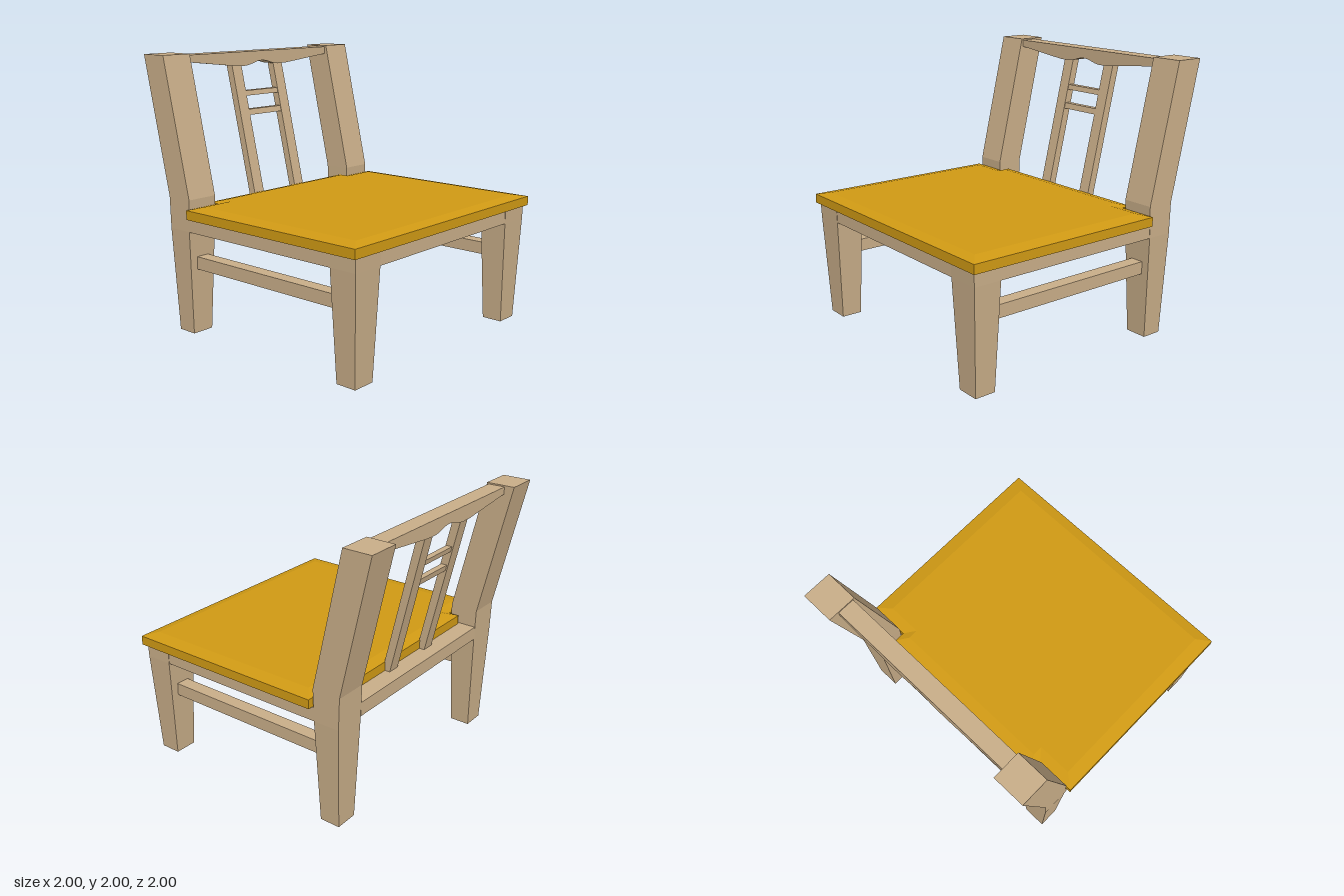
import * as THREE from 'three';

const wood = new THREE.MeshStandardMaterial({ color: 0xc8ad88, flatShading: true });
const cushion = new THREE.MeshStandardMaterial({ color: 0xcf9914, flatShading: true });

// Rectangular sections [y, x0, x1, z0, z1] joined from bottom to top
function loft(sections) {
  const pos = [], index = [];
  for (const [y, x0, x1, z0, z1] of sections) {
    pos.push(x0, y, z1, x1, y, z1, x1, y, z0, x0, y, z0);
  }
  const last = (sections.length - 1) * 4;
  for (let r = 0; r < last; r += 4) {
    for (let i = 0; i < 4; i++) {
      const a = r + i, b = r + (i + 1) % 4;
      index.push(a, b, b + 4, a, b + 4, a + 4);
    }
  }
  index.push(0, 2, 1, 0, 3, 2, last, last + 1, last + 2, last, last + 2, last + 3);
  const g = new THREE.BufferGeometry();
  g.setAttribute('position', new THREE.Float32BufferAttribute(pos, 3));
  g.setIndex(index);
  const flat = g.toNonIndexed();
  flat.computeVertexNormals();
  return flat;
}

const mirrorX = (sections) => sections.map(([y, x0, x1, z0, z1]) => [y, -x1, -x0, z0, z1]);

// Seat: notched outline whose top layer is drawn in to make a mitred bevel
function seatGeometry() {
  const outer = [[1, 1], [1, -0.55], [0.705, -0.55], [0.705, -0.63]];
  const inner = [[0.9, 0.92], [0.9, -0.47], [0.64, -0.47], [0.64, -0.545]];
  const half = outer.map(([x, z]) => new THREE.Vector2(x, -z));
  const other = half.map((p) => new THREE.Vector2(-p.x, p.y)).reverse();
  const g = new THREE.ExtrudeGeometry(new THREE.Shape([...half, ...other]), {
    depth: 2, steps: 2, bevelEnabled: false,
  });
  g.rotateX(-Math.PI / 2);
  const p = g.attributes.position;
  for (let i = 0; i < p.count; i++) {
    const x = p.getX(i), z = p.getZ(i), layer = Math.round(p.getY(i));
    p.setY(i, [0.868, 0.935, 0.955][layer]);
    if (layer < 2) continue;
    const k = outer.findIndex(([ox, oz]) => Math.hypot(Math.abs(x) - ox, z - oz) < 0.01);
    p.setX(i, Math.sign(x) * inner[k][0]);
    p.setZ(i, inner[k][1]);
  }
  g.computeVertexNormals();
  return g;
}

// Top rail: straight top, sagging underside with a small central arch
function topRailGeometry() {
  const s = new THREE.Shape();
  s.moveTo(-0.74, 1.99);
  s.lineTo(-0.74, 1.94);
  s.lineTo(-0.26, 1.885);
  s.lineTo(-0.17, 1.883);
  s.bezierCurveTo(-0.09, 1.89, -0.07, 1.916, 0, 1.916);
  s.bezierCurveTo(0.07, 1.916, 0.09, 1.89, 0.17, 1.883);
  s.lineTo(0.26, 1.885);
  s.lineTo(0.74, 1.935);
  s.lineTo(0.74, 1.99);
  const g = new THREE.ExtrudeGeometry(s, { depth: 0.125, bevelEnabled: false, curveSegments: 8 });
  return g.translate(0, 0, -0.925);
}

export function createModel() {
  const chair = new THREE.Group();
  chair.name = 'chair';
  const add = (name, geometry, material = wood) => {
    const m = new THREE.Mesh(geometry, material);
    m.name = name;
    chair.add(m);
  };
  const box = (name, x0, x1, y0, y1, z0, z1) =>
    add(name, loft([[y0, x0, x1, z0, z1], [y1, x0, x1, z0, z1]]));
  const pair = (name, sections) => {
    add('left' + name, loft(sections));
    add('right' + name, loft(mirrorX(sections)));
  };
  // Front of the leaning back at a given height
  const lean = (y) => -0.63 - 0.235 * (y - 0.955);

  add('seat', seatGeometry(), cushion);

  // Tapered legs; the back pair carry on up as leaning posts
  pair('FrontLeg', [
    [0, 0.76, 0.93, 0.79, 0.945],
    [0.77, 0.727, 0.967, 0.768, 0.975],
    [0.868, 0.725, 0.968, 0.766, 0.978],
  ]);
  pair('BackLeg', [
    [0, 0.76, 0.93, -0.74, -0.588],
    [0.77, 0.727, 0.965, -0.763, -0.565],
    [1.0, 0.725, 0.965, -0.77, -0.557],
    [2.0, 0.725, 0.965, -1.0, -0.788],
  ]);

  // Rails under the seat
  box('frontApron', -0.73, 0.73, 0.768, 0.868, 0.77, 0.974);
  box('backApron', -0.73, 0.73, 0.768, 0.868, -0.765, -0.565);
  pair('SideApron', [
    [0.768, 0.73, 0.964, -0.57, 0.77],
    [0.868, 0.73, 0.964, -0.57, 0.77],
  ]);
  pair('Stretcher', [
    [0.482, 0.795, 0.895, -0.58, 0.785],
    [0.575, 0.795, 0.895, -0.58, 0.785],
  ]);

  // Back: top rail, two leaning slats and two rungs between them
  add('topRail', topRailGeometry());
  pair('Slat', [0.86, 1.89].map((y) => [y, 0.17, 0.265, lean(y) - 0.06, lean(y)]));
  [[1.51, 1.553], [1.655, 1.693]].forEach(([y0, y1], i) => {
    const rung = [y0, y1].map((y) => [y, -0.175, 0.175, lean(y) - 0.05, lean(y) - 0.005]);
    add(i ? 'upperRung' : 'lowerRung', loft(rung));
  });

  return chair;
}
